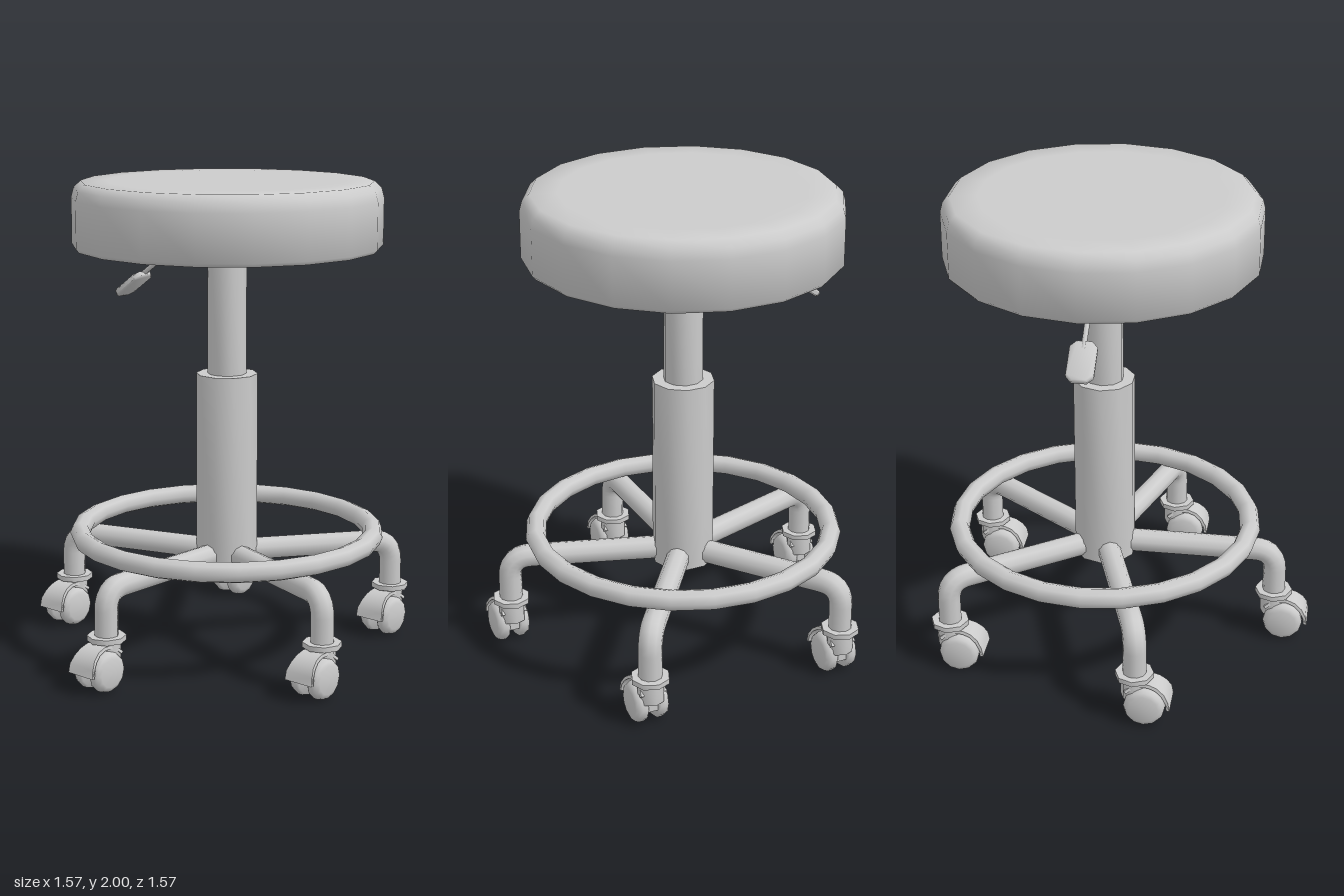
import * as THREE from 'three';
import { toCreasedNormals } from 'three/addons/utils/BufferGeometryUtils.js';

const material = new THREE.MeshStandardMaterial({ color: 0xcccccc });
const CENTRE_Z = -0.105;
const LEG_REACH = 0.74;

function addPart(parent, name, geometry, x = 0, y = 0, z = 0) {
  const mesh = new THREE.Mesh(geometry, material);
  mesh.name = name;
  mesh.position.set(x, y, z);
  parent.add(mesh);
  return mesh;
}

// Turned solid with a vertex on the x axis; profile runs from bottom to top
function turned(profile, sides, crease = 0.9) {
  const points = profile.map(([r, y]) => new THREE.Vector2(r, y));
  const geometry = new THREE.LatheGeometry(points, sides).rotateY(Math.PI / 2);
  return toCreasedNormals(geometry, crease);
}

const drum = (r, y0, y1, sides) => turned([[0, y0], [r, y0], [r, y1], [0, y1]], sides);

// Curved wheel cover, narrower over the top than at its front lip
function fenderGeometry() {
  const steps = 7, sweep = 2.44, half = 0.067;
  const arc = (r) => Array.from({ length: steps + 1 }, (_, i) => {
    const a = (i / steps) * sweep;
    return new THREE.Vector2(r * Math.cos(a), r * Math.sin(a));
  });
  const shape = new THREE.Shape([...arc(0.107), ...arc(0.094).reverse()]);
  const geometry = new THREE.ExtrudeGeometry(shape, { depth: 2 * half, bevelEnabled: false });
  geometry.rotateY(-Math.PI / 2).translate(half, 0, 0);
  const p = geometry.attributes.position;
  for (let i = 0; i < p.count; i++) {
    const t = THREE.MathUtils.clamp((p.getY(i) - 0.03) / 0.075, 0, 1);
    p.setX(i, p.getX(i) * (1 - 0.3 * t));
  }
  return toCreasedNormals(geometry, 0.7);
}

function createCaster() {
  const caster = new THREE.Group();
  caster.name = 'caster';
  addPart(caster, 'casterCollar', drum(0.08, 0.198, 0.22, 8));
  addPart(caster, 'casterStem', drum(0.057, 0.11, 0.2, 8));
  addPart(caster, 'casterBody', new THREE.BoxGeometry(0.046, 0.1, 0.1), 0, 0.115, 0.025);
  addPart(caster, 'casterFender', fenderGeometry(), 0, 0.085, 0.045);
  // Twin wheels with rounded outer shoulders
  const wheel = turned(
    [[0, 0.022], [0.078, 0.022], [0.085, 0.03], [0.085, 0.05], [0.077, 0.066], [0.06, 0.073], [0, 0.073]], 12);
  for (const side of [-1, 1]) {
    addPart(caster, 'casterWheel', wheel, 0, 0.085, 0.045).rotation.z = -side * Math.PI / 2;
  }
  return caster;
}

// Tube leg running out from the hub and bending down to the caster
function legGeometry() {
  const v = (z, y) => new THREE.Vector3(0, y, z);
  const path = new THREE.CurvePath();
  path.add(new THREE.LineCurve3(v(0.05, 0.412), v(LEG_REACH - 0.09, 0.412)));
  path.add(new THREE.QuadraticBezierCurve3(
    v(LEG_REACH - 0.09, 0.412), v(LEG_REACH, 0.412), v(LEG_REACH, 0.322)));
  path.add(new THREE.LineCurve3(v(LEG_REACH, 0.322), v(LEG_REACH, 0.205)));
  return new THREE.TubeGeometry(path, 36, 0.049, 10);
}

function createLever() {
  const lever = new THREE.Group();
  lever.name = 'heightLever';
  addPart(lever, 'leverMount', drum(0.07, 1.665, 1.725, 8), -0.18);
  // Bent rod
  const points = [[-0.2, 1.69], [-0.25, 1.685], [-0.36, 1.655], [-0.5, 1.555]]
    .map(([x, y]) => new THREE.Vector3(x, y, 0));
  const rod = new THREE.CurvePath();
  for (let i = 1; i < points.length; i++) rod.add(new THREE.LineCurve3(points[i - 1], points[i]));
  addPart(lever, 'leverRod', new THREE.TubeGeometry(rod, 24, 0.011, 6));
  // Flat paddle grip with clipped corners
  const [l, w, c] = [0.09, 0.055, 0.025];
  const outline = [[-l, c - w], [c - l, -w], [l - c, -w], [l, c - w], [l, w - c], [l - c, w], [c - l, w], [-l, w - c]];
  const shape = new THREE.Shape(outline.map(([x, y]) => new THREE.Vector2(x, y)));
  const grip = new THREE.ExtrudeGeometry(shape, {
    depth: 0.014, bevelThickness: 0.007, bevelSize: 0.007, bevelOffset: -0.007, bevelSegments: 1,
  });
  grip.translate(0, 0, -0.007).rotateX(-Math.PI / 2);
  addPart(lever, 'leverGrip', toCreasedNormals(grip, 0.9), -0.542, 1.518).rotation.z = 0.62;
  return lever;
}

export function createModel() {
  const stool = new THREE.Group();
  stool.name = 'rollingStool';
  const body = new THREE.Group();
  body.name = 'stoolBody';
  body.position.z = CENTRE_Z;
  stool.add(body);

  // Padded seat
  addPart(body, 'seat', turned([
    [0, 1.722], [0.635, 1.722], [0.648, 1.737], [0.648, 1.93],
    [0.637, 1.97], [0.608, 1.998], [0.5, 2], [0, 2],
  ], 18));

  // Telescopic column
  addPart(body, 'upperColumn', drum(0.082, 1.15, 1.73, 10));
  addPart(body, 'lowerColumn', drum(0.13, 0.36, 1.19, 10));
  body.add(createLever());

  // Foot ring resting on the legs
  addPart(body, 'footRing', new THREE.TorusGeometry(0.628, 0.043, 8, 24).rotateX(Math.PI / 2), 0, 0.503);

  // Five legs, every caster trailing toward the front
  const leg = legGeometry();
  for (let i = 0; i < 5; i++) {
    const angle = (i / 5) * Math.PI * 2;
    addPart(body, 'leg', leg).rotation.y = angle;
    const caster = createCaster();
    caster.position.set(LEG_REACH * Math.sin(angle), 0, LEG_REACH * Math.cos(angle));
    body.add(caster);
  }
  return stool;
}
